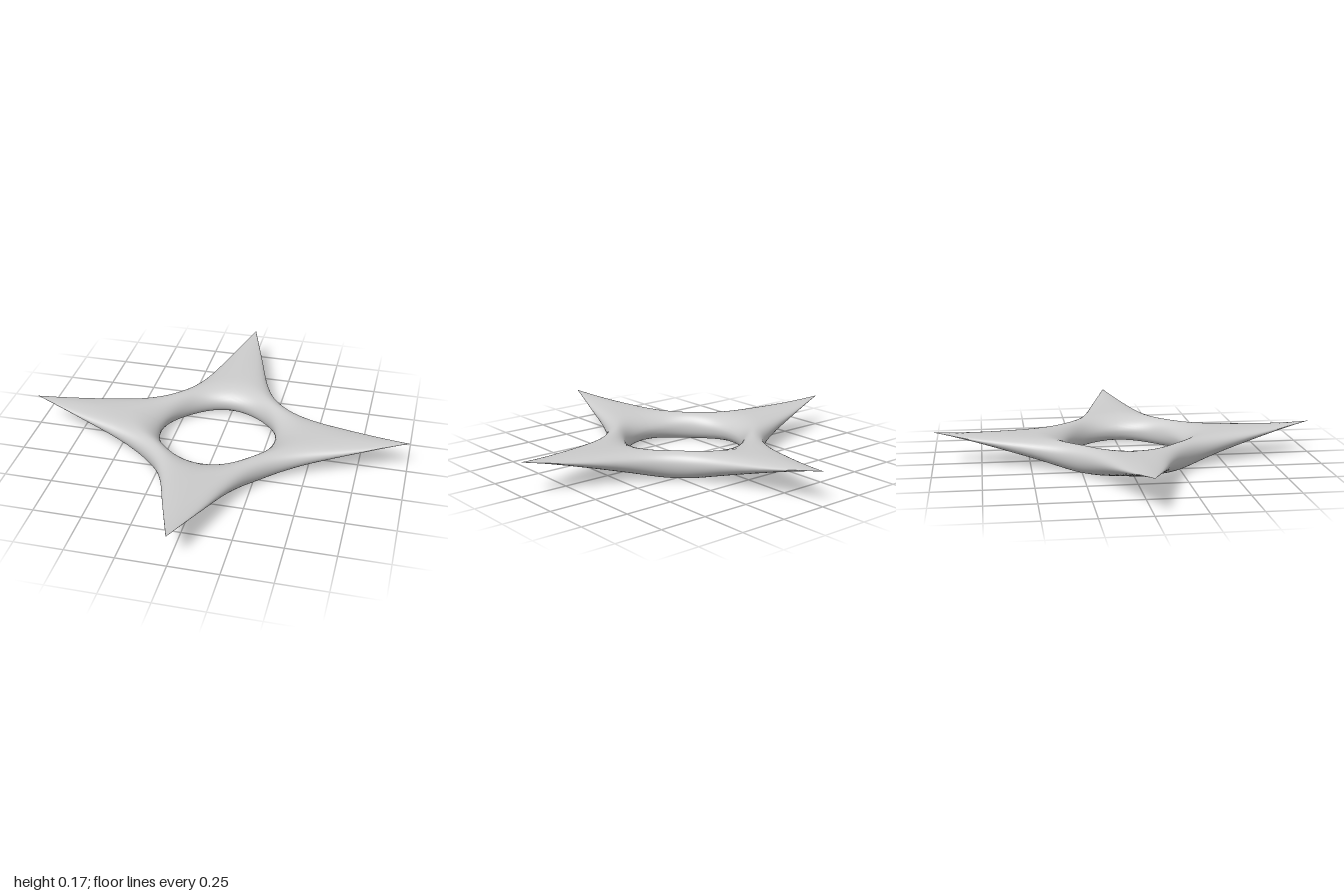
import * as THREE from 'three';

const HOLE = 0.305;   // radius of the round opening
const STEPS = 28;     // sections per quarter
const HALF = 22;      // points across the top (and across the underside)

// Plan outline of one quarter, tip to tip, mirrored about the diagonal
function quarterOutline() {
  const side = [[1, 0], [0.72, 0.097], [0.5, 0.172], [0.375, 0.235]];
  const pts = [...side, [0.298, 0.298], ...side.map(([x, z]) => [z, x]).reverse()];
  const curve = new THREE.CatmullRomCurve3(pts.map(([x, z]) => new THREE.Vector3(x, 0, z)));
  return curve.getPoints(STEPS).slice(0, STEPS);
}

// Height of the top (side = 1) or underside (side = -1) at radius r
function surfaceHeight(r, outer, theta, side) {
  const t = (r - HOLE) / (outer - HOLE);
  const arm = Math.cos(2 * theta) ** 2;               // 1 on an arm, 0 between arms
  const top = 0.154 + (r - 0.36) * 0.038;
  const bottom = 0.004 + (r - 0.36) * 0.262 + 0.008 * arm;
  const mid = (top + bottom) / 2;
  const lip = 0.07 + (side > 0 ? 0.09 : 0.02) * arm;  // width of the rounded inner lip
  const d = Math.min(1, (r - HOLE) / lip);
  const round = Math.sqrt(Math.max(0, 1 - (1 - d) ** 2)) * Math.sqrt(Math.max(0, 1 - t ** 4));
  return mid + side * (top - bottom) / 2 * round;
}

export function createModel() {
  const group = new THREE.Group();
  const outline = quarterOutline();
  const ringCount = 4 * STEPS, sectionCount = 2 * HALF;
  const pos = [], index = [];

  // Closed cross-sections, swept once around the opening
  for (let i = 0; i < ringCount; i++) {
    const p = outline[i % STEPS];
    const theta = Math.atan2(p.z, p.x) + Math.floor(i / STEPS) * Math.PI / 2;
    const outer = Math.hypot(p.x, p.z);
    for (let j = 0; j < sectionCount; j++) {
      const t = (1 - Math.cos(j / HALF * Math.PI)) / 2;
      const r = HOLE + t * (outer - HOLE);
      const y = surfaceHeight(r, outer, theta, j <= HALF ? 1 : -1);
      pos.push(r * Math.cos(theta), y, r * Math.sin(theta));

      const i2 = (i + 1) % ringCount, j2 = (j + 1) % sectionCount;
      const a = i * sectionCount + j, b = i2 * sectionCount + j;
      const c = i2 * sectionCount + j2, e = i * sectionCount + j2;
      index.push(a, b, e, b, c, e);
    }
  }

  const geometry = new THREE.BufferGeometry();
  geometry.setAttribute('position', new THREE.Float32BufferAttribute(pos, 3));
  geometry.setIndex(index);
  geometry.computeBoundingBox();
  geometry.translate(0, -geometry.boundingBox.min.y, 0);
  geometry.computeVertexNormals();

  const star = new THREE.Mesh(geometry, new THREE.MeshStandardMaterial({ color: 0xcccccc }));
  star.name = 'fourPointedRing';
  group.add(star);
  return group;
}
